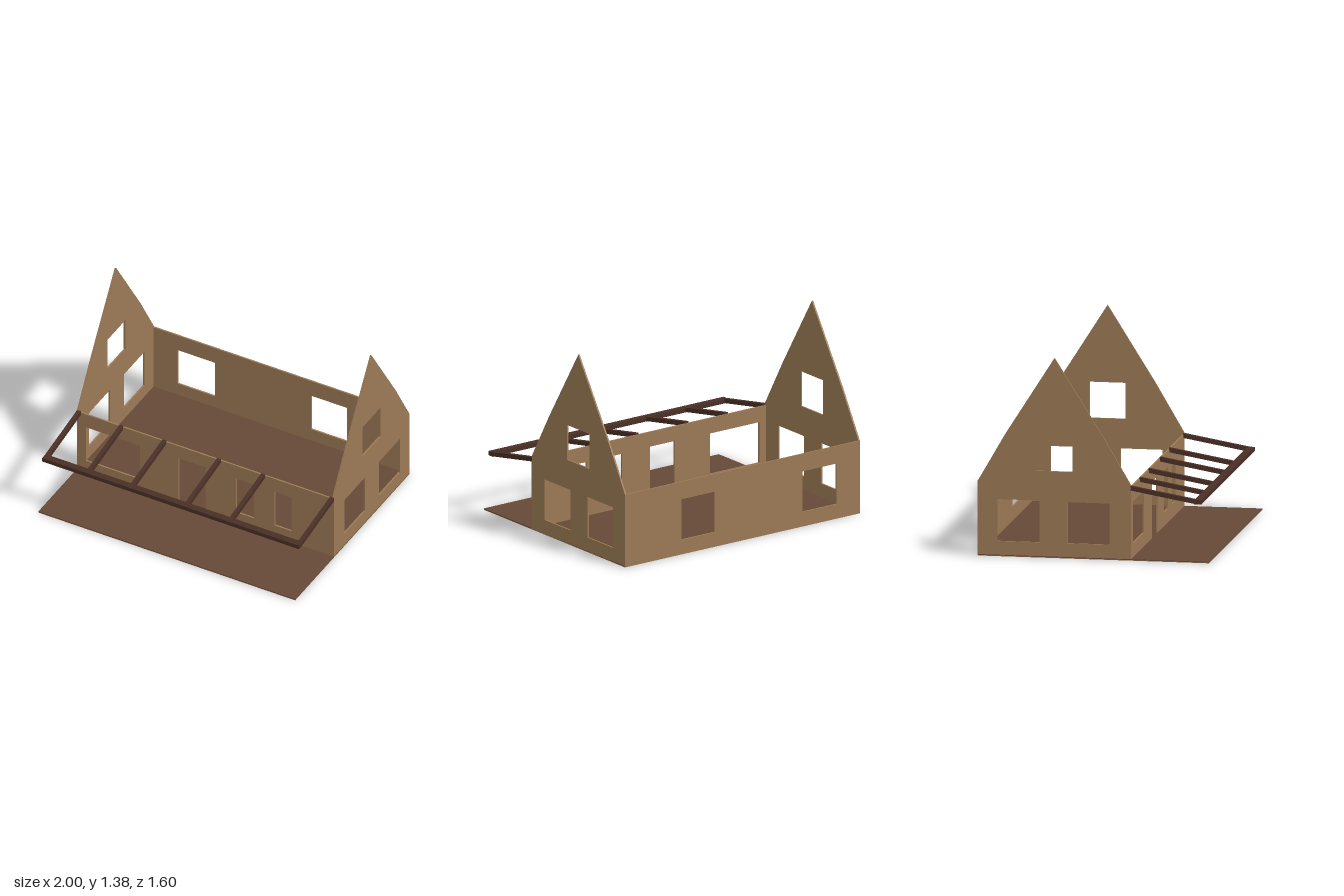
import * as THREE from 'three';

const material = (name, color) => {
  const m = new THREE.MeshStandardMaterial({ color });
  m.name = name;
  return m;
};

// Thin wall panel with rectangular openings [u0, u1, v0, v1]
function panel(outline, openings, depth) {
  const shape = new THREE.Shape(outline.map(([u, v]) => new THREE.Vector2(u, v)));
  for (const [u0, u1, v0, v1] of openings) {
    const corners = [[u0, v0], [u0, v1], [u1, v1], [u1, v0]];
    shape.holes.push(new THREE.Path(corners.map(([u, v]) => new THREE.Vector2(u, v))));
  }
  return new THREE.ExtrudeGeometry(shape, { depth, bevelEnabled: false });
}

export function createModel() {
  const plaster = material('tan plaster', 0x9c7a55);
  const floorBrown = material('brown floor', 0x664837);
  const timber = material('dark timber', 0x4a2f26);

  const house = new THREE.Group();
  house.name = 'house';
  const add = (name, geometry, mat, x = 0, y = 0, z = 0) => {
    const mesh = new THREE.Mesh(geometry, mat);
    mesh.name = name;
    mesh.position.set(x, y, z);
    house.add(mesh);
    return mesh;
  };

  const T = 0.012;
  const front = 0.26, back = -0.8;

  // Ground slab: plaster underside, brown floor and terrace on top
  add('slabBase', new THREE.BoxGeometry(2, 0.004, 1.6), plaster, 0, 0.002, 0);
  add('floor', new THREE.BoxGeometry(2, 0.006, 1.6), floorBrown, 0, 0.007, 0);

  // Front wall: the doorway is a notch that reaches the floor
  const frontOutline = [
    [-1, 0.008], [-0.21, 0.008], [-0.21, 0.4], [0, 0.4], [0, 0.008],
    [1, 0.008], [1, 0.505], [-1, 0.505],
  ];
  const frontWindows = [
    [-0.93, -0.51, 0.105, 0.395],
    [0.24, 0.38, 0.105, 0.395],
    [0.54, 0.67, 0.105, 0.395],
  ];
  add('frontWall', panel(frontOutline, frontWindows, T), plaster, 0, 0, front - T);

  // Back wall
  const backOutline = [[-1, 0.002], [1, 0.002], [1, 0.52], [-1, 0.52]];
  const backWindows = [[-0.8, -0.51, 0.105, 0.395], [0.24, 0.52, 0.105, 0.395]];
  add('backWall', panel(backOutline, backWindows, T), plaster, 0, 0, back - 0.002);

  // Gable walls, drawn along -z and turned to face sideways
  const gableOutline = [
    [-front, 0.002], [-back, 0.002], [-back, 0.52], [0.61, 0.85],
    [0.27, 1.385], [-0.06, 0.86], [-front, 0.52],
  ];
  const gableWindows = [
    [-0.11, 0.18, 0.105, 0.395],
    [0.375, 0.665, 0.105, 0.395],
    [0.145, 0.395, 0.6, 0.85],
  ];
  const gable = panel(gableOutline, gableWindows, T).rotateY(Math.PI / 2);
  add('leftGable', gable, plaster, 1 - T, 0, 0);
  add('rightGable', gable, plaster, -1, 0, 0);

  // Pergola: sloping rafters from the front wall to a long beam
  const start = new THREE.Vector2(0.255, 0.501);
  const end = new THREE.Vector2(0.71, 0.421);
  const run = end.clone().sub(start);
  for (const x of [-0.985, -0.655, -0.32, 0.105, 0.45, 0.985]) {
    const rafter = add('rafter', new THREE.BoxGeometry(0.03, 0.03, run.length()), timber,
      x, (start.y + end.y) / 2, (start.x + end.x) / 2);
    rafter.rotation.x = Math.atan2(-run.y, run.x);
  }
  add('pergolaBeam', new THREE.BoxGeometry(2, 0.03, 0.05), timber, 0, 0.42, 0.722);

  return house;
}
